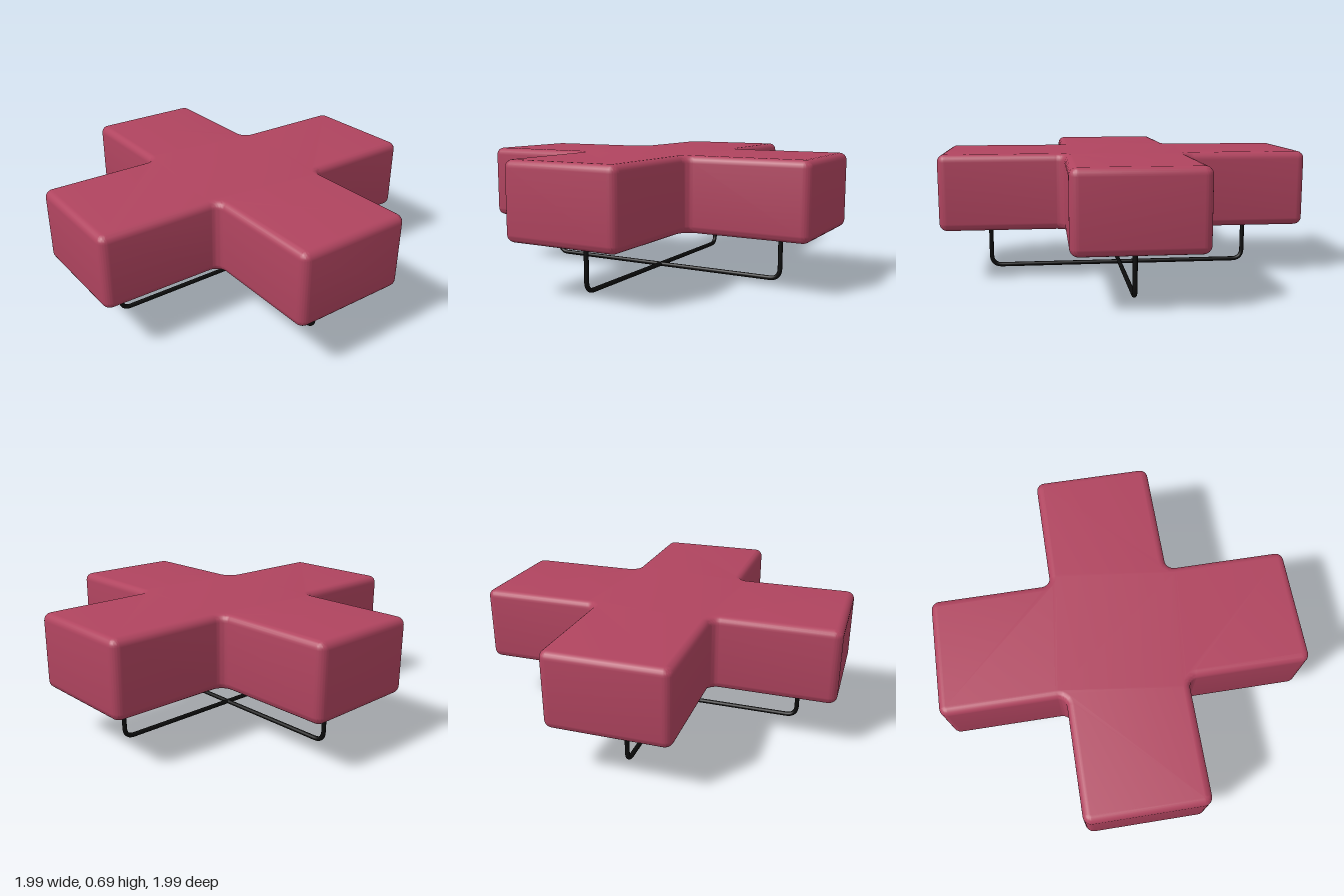
import * as THREE from 'three';
import { toCreasedNormals } from 'three/addons/utils/BufferGeometryUtils.js';

const fabric = new THREE.MeshStandardMaterial({ color: 0xb0445f });
fabric.name = 'raspberryFabric';
const metal = new THREE.MeshStandardMaterial({ color: 0x0c0c0c });
metal.name = 'blackMetal';

// Plus-shaped outline with rounded outer corners and filleted inner corners
function crossShape(reach, half, round, fillet) {
  const shape = new THREE.Shape();
  const quarter = Math.PI / 2;
  for (let k = 0; k < 4; k++) {
    const turn = k * quarter;
    const arc = (x, y, r, from, to, clockwise) => shape.absarc(
      x * Math.cos(turn) - y * Math.sin(turn), x * Math.sin(turn) + y * Math.cos(turn),
      r, from * quarter + turn, to * quarter + turn, clockwise);
    arc(reach - round, round - half, round, -1, 0, false);
    arc(reach - round, half - round, round, 0, 1, false);
    arc(half + fillet, half + fillet, fillet, 3, 2, true);
  }
  return shape;
}

// Thick upholstered cushion with softened edges
function makeCushion() {
  const bottom = 0.28, top = 0.69, bevel = 0.04;
  const geometry = new THREE.ExtrudeGeometry(crossShape(0.997, 0.33, 0.046, 0.05), {
    depth: top - bottom - 2 * bevel, curveSegments: 6,
    bevelThickness: bevel, bevelSize: bevel, bevelOffset: -bevel, bevelSegments: 6,
  });
  geometry.rotateX(-Math.PI / 2);
  geometry.translate(0, bottom + bevel, 0);
  const cushion = new THREE.Mesh(toCreasedNormals(geometry, 0.7), fabric);
  cushion.name = 'cushion';
  return cushion;
}

// U-shaped bent rod: leg, floor bar, leg
function makeRod(name) {
  const r = 0.0125, span = 0.748, bend = 0.06, top = 0.3;
  const p = (x, y) => new THREE.Vector3(x, y, 0);
  const path = new THREE.CurvePath();
  path.add(new THREE.LineCurve3(p(-span, top), p(-span, r + bend)));
  path.add(new THREE.QuadraticBezierCurve3(p(-span, r + bend), p(-span, r), p(bend - span, r)));
  path.add(new THREE.LineCurve3(p(bend - span, r), p(span - bend, r)));
  path.add(new THREE.QuadraticBezierCurve3(p(span - bend, r), p(span, r), p(span, r + bend)));
  path.add(new THREE.LineCurve3(p(span, r + bend), p(span, top)));
  const rod = new THREE.Mesh(new THREE.TubeGeometry(path, 200, r, 10), metal);
  rod.name = name;
  return rod;
}

export function createModel() {
  const model = new THREE.Group();
  model.name = 'crossOttoman';
  model.add(makeCushion());

  // Two rods crossing under the seat
  const base = new THREE.Group();
  base.name = 'legFrame';
  const sideRod = makeRod('sideToSideRod');
  const depthRod = makeRod('frontToBackRod');
  depthRod.rotation.y = Math.PI / 2;
  base.add(sideRod, depthRod);
  base.position.x = -0.012;
  model.add(base);
  return model;
}
